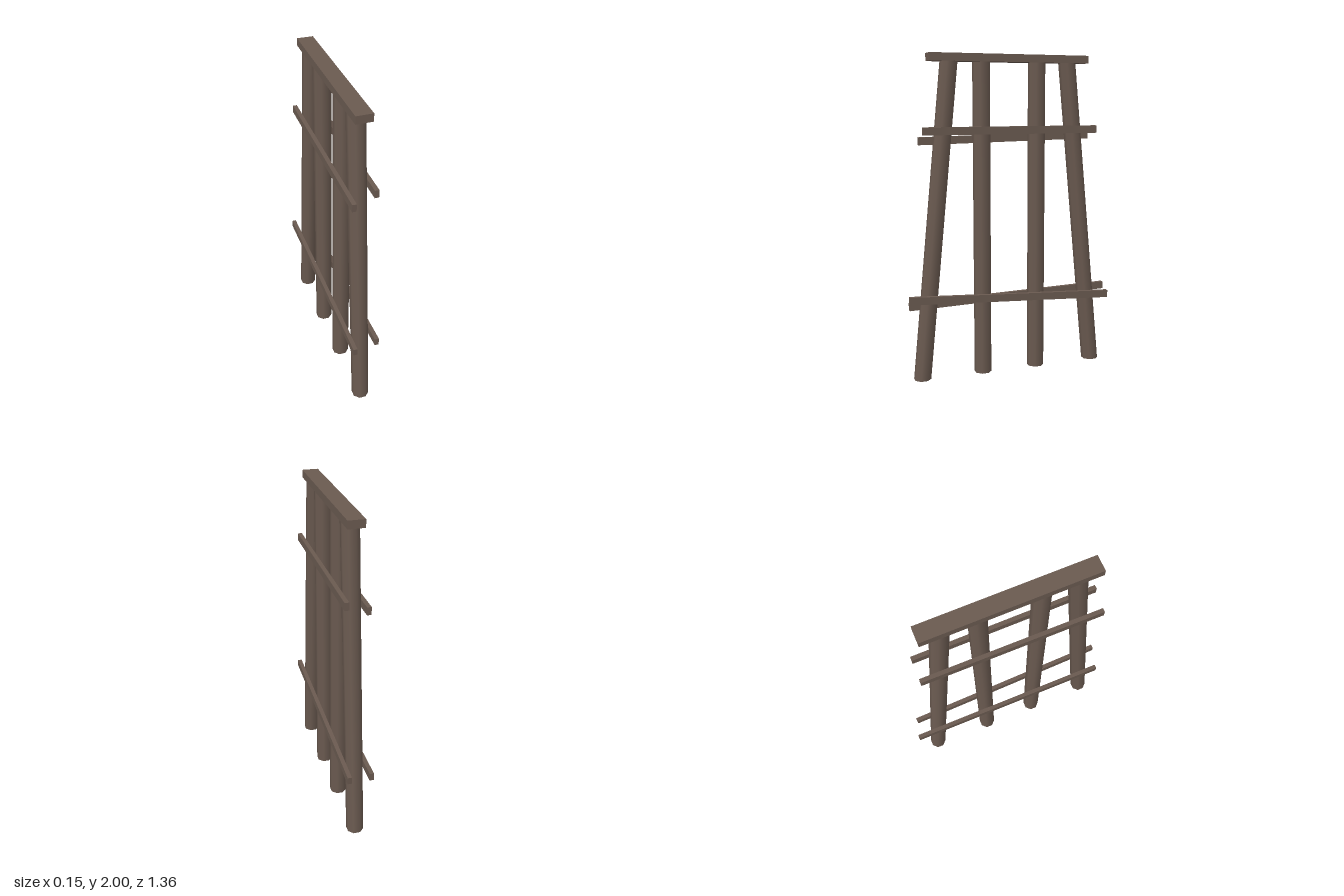
import * as THREE from 'three';

export function createModel() {
  const model = new THREE.Group();
  const wood = new THREE.MeshStandardMaterial({ color: 0x6a5a50 });
  wood.name = 'darkWood';

  const add = (name, geometry) => {
    const mesh = new THREE.Mesh(geometry, wood);
    mesh.name = name;
    model.add(mesh);
    return mesh;
  };

  // Eight-sided pole, sheared along z so that both ends stay level
  const height = 1.953;
  const pole = (name, zBottom, zTop) => {
    const geometry = new THREE.CylinderGeometry(0.054, 0.054, height, 8);
    geometry.rotateY(Math.PI / 8);
    geometry.translate(0, height / 2, 0);
    const slope = (zTop - zBottom) / height;
    geometry.applyMatrix4(new THREE.Matrix4().set(
      1, 0, 0, 0,
      0, 1, 0, 0,
      0, slope, 1, zBottom,
      0, 0, 0, 1));
    add(name, geometry);
  };
  pole('frontLeaningPile', 0.594, 0.4);
  pole('frontUprightPile', 0.197, 0.197);
  pole('backUprightPile', -0.165, -0.165);
  pole('backLeaningPile', -0.562, -0.37);

  // Cap beam across the pile heads
  add('capBeam', new THREE.BoxGeometry(0.1, 0.047, 1.025)).position.set(0, 1.9765, 0.0155);

  // Thin planks nailed to both sides, given by the centres of their two ends
  const brace = (name, side, zFront, yFront, zBack, yBack) => {
    const dz = zFront - zBack, dy = yFront - yBack;
    const plank = add(name, new THREE.BoxGeometry(0.026, 0.047, Math.hypot(dz, dy)));
    plank.position.set(side * 0.063, (yFront + yBack) / 2, (zFront + zBack) / 2);
    plank.rotation.x = -Math.atan2(dy, dz);
  };
  brace('upperLeftBrace', 1, 0.58, 1.543, -0.549, 1.543);
  brace('upperRightBrace', -1, 0.58, 1.479, -0.549, 1.502);
  brace('lowerLeftBrace', 1, 0.68, 0.526, -0.65, 0.453);
  brace('lowerRightBrace', -1, 0.656, 0.453, -0.68, 0.48);

  return model;
}
